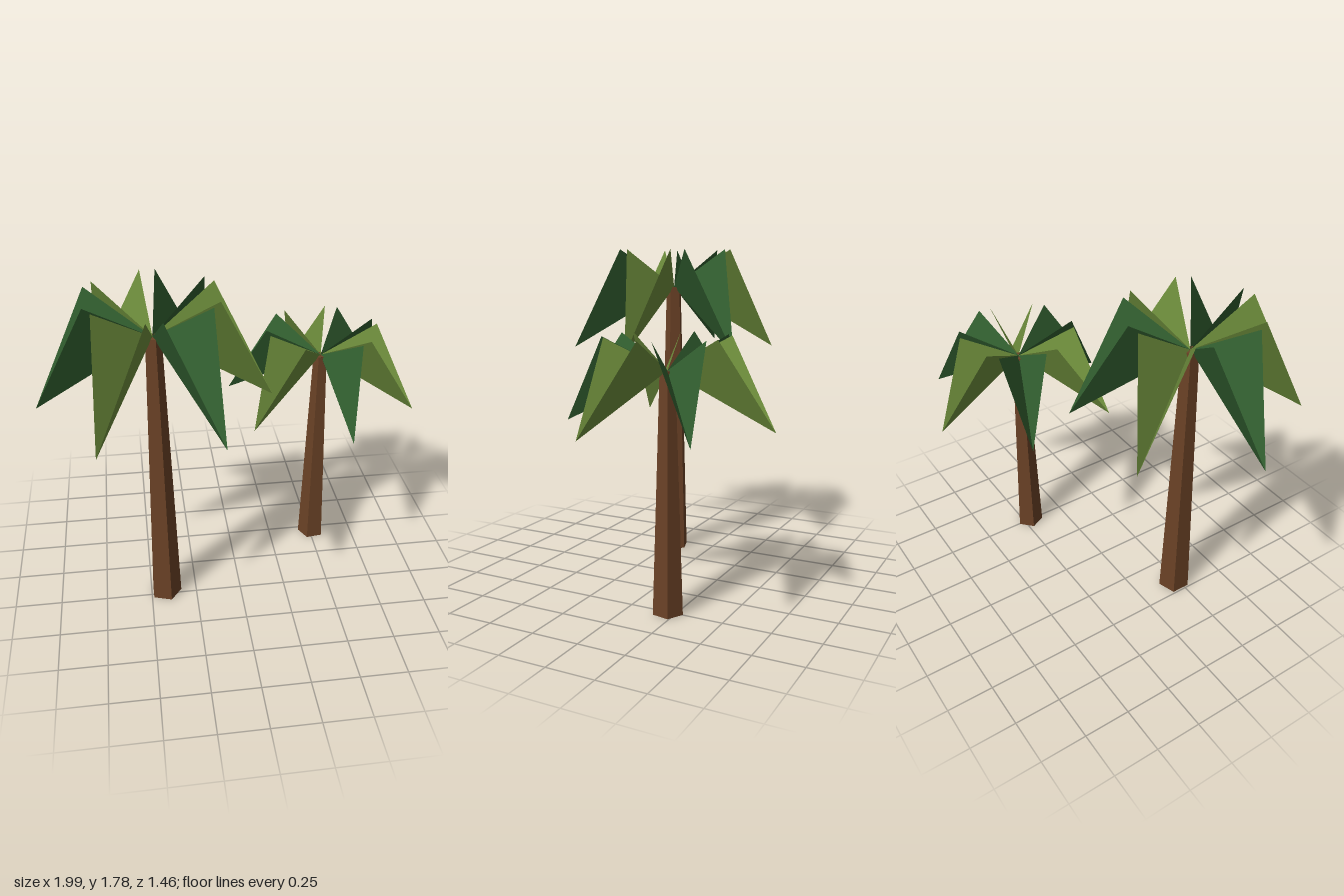
import * as THREE from 'three';

const HEIGHT = 1.567;

function flat(name, color, side = THREE.FrontSide) {
  return new THREE.MeshStandardMaterial({ name, color, side, flatShading: true });
}

// V-folded frond pointing along +x: a drooping spine with two raised side corners
function frondGeometry() {
  const base = [0, 0, 0];
  const tip = [0.58, -0.345, 0];
  const left = [0.31, 0.213, -0.135];
  const right = [0.31, 0.213, 0.135];
  const geometry = new THREE.BufferGeometry();
  geometry.setAttribute('position', new THREE.Float32BufferAttribute(
    [base, right, tip, base, tip, left].flat(), 3));
  geometry.computeVertexNormals();
  return geometry;
}

export function createModel() {
  const bark = flat('bark brown', 0x6b4226);
  const lightLeaf = flat('light leaf green', 0x6e8e3c, THREE.DoubleSide);
  const darkLeaf = flat('dark leaf green', 0x315e2f, THREE.DoubleSide);

  // Tapered five-sided trunk with one corner on +x
  const trunkGeometry = new THREE.CylinderGeometry(0.043, 0.086, HEIGHT, 5);
  trunkGeometry.rotateY(Math.PI / 2).translate(0, HEIGHT / 2, 0);
  const leafGeometry = frondGeometry();

  function palm(name) {
    const tree = new THREE.Group();
    tree.name = name;
    const trunk = new THREE.Mesh(trunkGeometry, bark);
    trunk.name = 'trunk';
    tree.add(trunk);

    // Six fronds in alternating greens
    const crown = new THREE.Group();
    crown.name = 'crown';
    crown.position.y = HEIGHT;
    for (let i = 0; i < 6; i++) {
      const frond = new THREE.Mesh(leafGeometry, i % 2 ? darkLeaf : lightLeaf);
      frond.name = `frond${i + 1}`;
      frond.rotation.y = i * Math.PI / 3;
      crown.add(frond);
    }
    tree.add(crown);
    return tree;
  }

  const model = new THREE.Group();
  model.name = 'palmTrees';

  const tall = palm('tallPalm');
  tall.position.set(-0.42, 0, 0.225);

  // Shorter palm, squashed and turned
  const short = palm('shortPalm');
  short.position.set(0.508, 0, -0.21);
  short.scale.set(0.905, 0.77, 0.905);
  short.rotation.y = THREE.MathUtils.degToRad(97.7);

  model.add(tall, short);
  return model;
}
